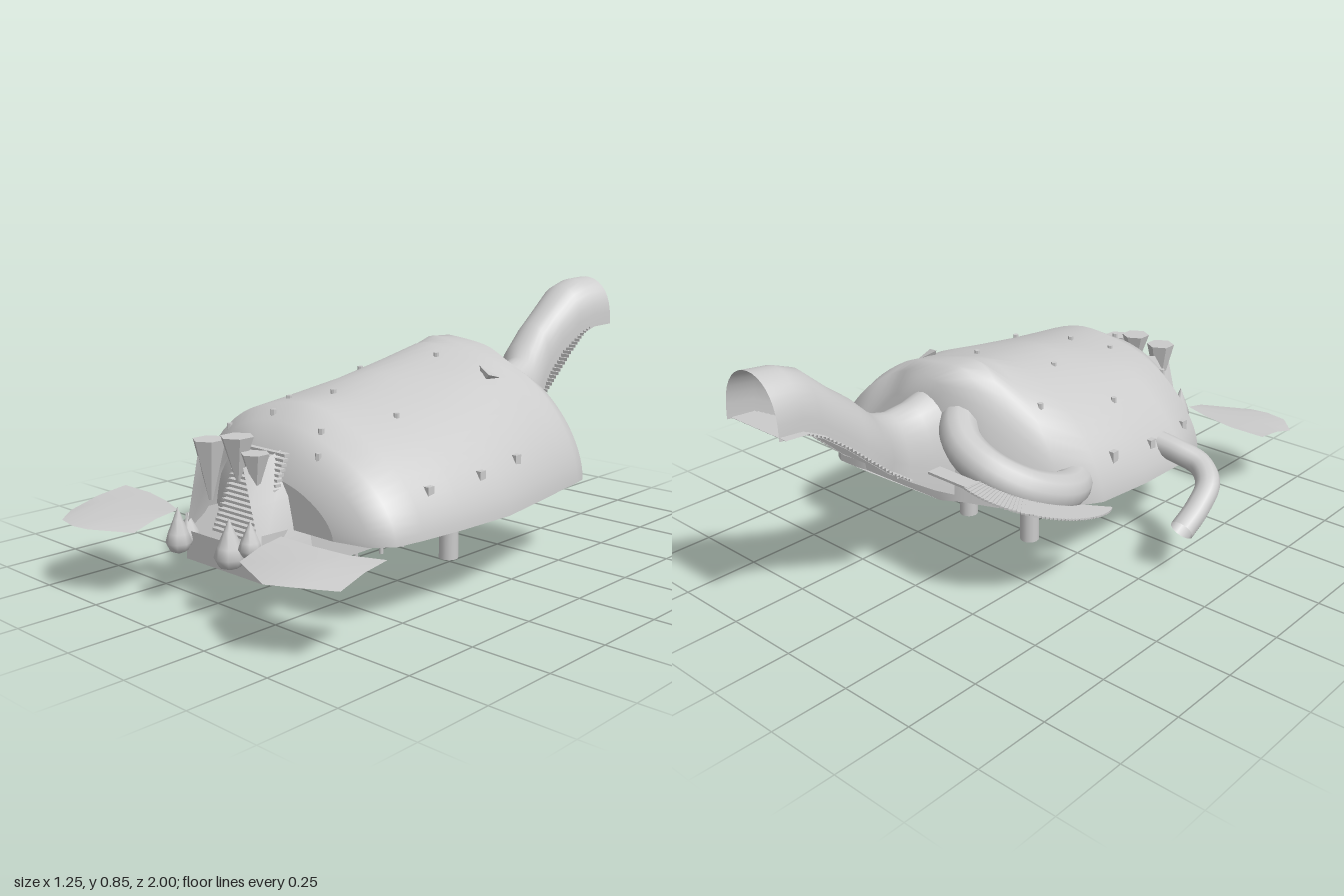
import * as THREE from 'three';

const mat = new THREE.MeshStandardMaterial({ color: 0xcccccc, side: THREE.DoubleSide });
const flat = new THREE.MeshStandardMaterial({ color: 0xcccccc, side: THREE.DoubleSide, flatShading: true });
const V = (x, y, z) => new THREE.Vector3(x, y, z);

// Skin between equally long rows of points
function loft(rows) {
  const n = rows[0].length, idx = [];
  for (let i = 0; i < rows.length - 1; i++) for (let j = 0; j < n - 1; j++) {
    const a = i * n + j, b = a + n;
    idx.push(a, b, a + 1, b, b + 1, a + 1);
  }
  const g = new THREE.BufferGeometry().setFromPoints(rows.flat());
  g.setIndex(idx);
  g.computeVertexNormals();
  return g;
}

// Linear interpolation in a table sorted by its first column
function sample(table, t) {
  let i = 0;
  while (i < table.length - 2 && table[i + 1][0] < t) i++;
  const a = table[i], b = table[i + 1], f = (t - a[0]) / (b[0] - a[0]);
  return a.map((v, k) => v + (b[k] - v) * f);
}

// Shell stations: z, left edge, right edge, ridge x, ridge height
const stations = [
  [-0.395, 0.34, 0.46, 0.4, 0.36], [-0.38, 0.0, 0.49, 0.1, 0.56], [-0.345, -0.06, 0.52, 0.04, 0.64],
  [-0.3, -0.17, 0.53, -0.02, 0.685], [-0.23, -0.21, 0.54, -0.02, 0.68], [-0.17, -0.32, 0.55, 0.02, 0.665],
  [-0.05, -0.39, 0.57, 0.05, 0.645], [0.15, -0.41, 0.6, 0.06, 0.61], [0.35, -0.41, 0.59, 0.07, 0.58],
  [0.5, -0.37, 0.575, 0.07, 0.57], [0.59, -0.26, 0.56, 0.08, 0.53], [0.645, -0.13, 0.51, 0.08, 0.47],
  [0.67, -0.06, 0.4, 0.08, 0.4],
];
const BASE = 0.255;

function surfaceY(x, z) {
  const [, l, r, p, top] = sample(stations, z);
  const u = Math.min(1, Math.abs(x < p ? (p - x) / (p - l) : (x - p) / (r - p)));
  const lump = 0.012 * Math.sin(x * 13 + z * 5) * Math.sin(z * 11 - x * 4) * (1 - u);
  return BASE + (top - BASE) * Math.pow(1 - u * u, x < p ? 0.64 : 0.57) + lump;
}

// Basin stations: z, left, right, bottom
const basin = [
  [0.0, -0.04, 0.19, 0.13], [0.03, -0.085, 0.23, 0.128], [0.2, -0.095, 0.235, 0.125], [0.4, -0.1, 0.24, 0.125],
  [0.56, -0.11, 0.24, 0.125], [0.61, -0.11, 0.24, 0.108], [0.7, -0.11, 0.24, 0.115], [0.78, -0.1, 0.235, 0.122],
];

export function createModel() {
  const model = new THREE.Group();
  const add = (name, geo, x = 0, y = 0, z = 0, m = mat) => {
    const mesh = new THREE.Mesh(geo, m);
    mesh.name = name;
    mesh.position.set(x, y, z);
    model.add(mesh);
    return mesh;
  };
  const box = (name, w, h, d, x, y, z) => add(name, new THREE.BoxGeometry(w, h, d), x, y, z, flat);

  // Lumpy cave shell with closed ends and a dent in the back beside the tail
  const dent = (x, z) => z + 0.04 * Math.exp(-(((x - 0.25) / 0.07) ** 2)) * THREE.MathUtils.smoothstep(-z, 0.2, 0.38);
  const rows = stations.map(([z, l, r]) => Array.from({ length: 33 }, (_, j) => {
    const x = (l + r) / 2 - (r - l) / 2 * Math.cos(Math.PI * j / 32);
    return V(x, surfaceY(x, z), dent(x, z));
  }));
  add('caveShell', loft(rows));
  for (const row of [rows[0], rows.at(-1)])
    add('shellEnd', loft([row, row.map(p => V(p.x, BASE, p.z))]));

  // Underside, open over the basin
  const outline = (table, top) => {
    const list = table.filter(s => s[0] <= top);
    return [...list.map(s => new THREE.Vector2(s[1], s[0])), ...list.reverse().map(s => new THREE.Vector2(s[2], s[0]))];
  };
  const under = new THREE.Shape(outline(stations, 1));
  under.holes.push(new THREE.Path(outline(basin, 0.62)));
  add('shellUnderside', new THREE.ShapeGeometry(under).rotateX(Math.PI / 2), 0, BASE, 0);

  // Basin walls hanging below the opening
  for (const side of [1, 2])
    add('basinWall', loft(basin.map(s => [V(s[side], 0.26, s[0]), V(s[side], s[3], s[0])])));
  for (const [[z, l, r, y], top] of [[basin[0], 0.26], [basin.at(-1), 0.21]])
    add('basinEnd', loft([[V(l, y, z), V(r, y, z)], [V(l, top, z), V(r, top, z)]]));

  // Arched tail tunnel, open below: z, centre x, half width, bottom y, top y
  const tail = [
    [-1, 0.07, 0.115, 0.675, 0.845], [-0.92, 0.06, 0.11, 0.67, 0.84], [-0.86, 0.05, 0.1, 0.64, 0.82],
    [-0.78, 0.04, 0.09, 0.58, 0.75], [-0.7, 0.04, 0.09, 0.51, 0.69], [-0.63, 0.05, 0.1, 0.45, 0.625],
    [-0.57, 0.08, 0.09, 0.41, 0.585], [-0.5, 0.09, 0.09, 0.36, 0.565], [-0.42, 0.085, 0.105, 0.31, 0.575],
    [-0.34, 0.08, 0.125, 0.27, 0.6], [-0.25, 0.08, 0.13, 0.27, 0.6],
  ];
  add('tailTunnel', loft(tail.map(([z, cx, w, lo, hi]) => Array.from({ length: 19 }, (_, j) => {
    const a = Math.PI * j / 18;
    return V(cx + w * Math.cos(a), lo + (hi - lo) * Math.pow(Math.sin(a), 0.75), z);
  }))));

  // Staircases through the tunnel: zigzag strips of treads and risers
  const stairs = (x0, x1, zFrom, zTo, n) => {
    const strip = [];
    for (let i = 0; i <= n; i++) {
      const z = zFrom + (zTo - zFrom) * i / n, y = sample(tail, z)[3] + 0.012;
      if (i) strip.push([V(x1, strip.at(-1)[0].y, z), V(x0, strip.at(-1)[0].y, z)]);
      strip.push([V(x1, y, z), V(x0, y, z)]);
    }
    add('tunnelStairs', loft(strip), 0, 0, 0, flat);
  };
  stairs(0.02, 0.23, -0.4, -0.56, 12);
  stairs(-0.075, 0.165, -0.56, -1, 34);
  box('tunnelPost', 0.012, 0.19, 0.025, 0.18, 0.375, -0.39);

  // Looping arm tunnel on the back and bent pipe on the flank
  const tube = (name, pts, r) =>
    add(name, new THREE.TubeGeometry(new THREE.CatmullRomCurve3(pts), 28, r, 12));
  tube('loopTunnel', [V(0.02, 0.53, -0.25), V(-0.06, 0.5, -0.35), V(-0.13, 0.47, -0.39), V(-0.23, 0.43, -0.39),
    V(-0.315, 0.38, -0.325), V(-0.345, 0.34, -0.22), V(-0.325, 0.32, -0.13), V(-0.27, 0.32, -0.05)], 0.062);
  tube('sidePipe', [V(-0.36, 0.34, 0.28), V(-0.43, 0.325, 0.29), V(-0.51, 0.3, 0.3), V(-0.57, 0.265, 0.26),
    V(-0.586, 0.21, 0.18), V(-0.586, 0.165, 0.1)], 0.04);

  // Fan of curved steps descending around the loop, with its landing
  for (let i = 0; i < 48; i++) {
    const a = THREE.MathUtils.degToRad(92 + i * 2.55);
    const step = box('loopStep', 0.12, 0.006, 0.011,
      -0.23 + 0.21 * Math.cos(a), 0.42 - i * 0.0031, -0.24 - 0.21 * Math.sin(a));
    step.rotation.y = a;
  }
  box('loopLanding', 0.16, 0.008, 0.05, -0.16, 0.42, -0.48);

  // Pegs and legs
  for (const z of [0.58, 0.485, 0.4, 0.29, 0.195, 0.1, 0.02])
    for (const x of [-0.07, 0.22])
      add('peg', new THREE.CylinderGeometry(0.007, 0.007, 0.07, 8), x, 0.125, z);
  for (const x of [-0.065, 0.22])
    add('leg', new THREE.CylinderGeometry(0.032, 0.032, 0.25, 16), x, 0.125, -0.03);

  // Flared mouth walls with a staircase inside
  for (const s of [-1, 1]) {
    const x = o => 0.065 + s * o;
    add('mouthWall', loft([
      [V(x(0.2), 0.2, 0.62), V(x(0.17), 0.36, 0.62), V(x(0.1), 0.48, 0.6)],
      [V(x(0.18), 0.2, 0.72), V(x(0.15), 0.34, 0.71), V(x(0.1), 0.45, 0.7)],
      [V(x(0.17), 0.18, 0.78), V(x(0.13), 0.33, 0.78), V(x(0.1), 0.44, 0.78)],
    ]));
  }
  for (let i = 0; i < 18; i++)
    box('mouthStep', 0.2, 0.008, 0.02, 0.105, 0.23 + i * 0.0135, 0.755 - i * 0.006);

  // Stalactites over the mouth: x, top, z, radius, length
  for (const [x, y, z, r, h] of [[-0.03, 0.485, 0.74, 0.05, 0.18], [0.07, 0.505, 0.72, 0.05, 0.13],
    [0.17, 0.475, 0.74, 0.042, 0.11]])
    add('stalactite', new THREE.CylinderGeometry(r, 0.006, h, 6), x, y - h / 2, z, flat);

  // Teardrop stalagmites below: x, bottom, z, radius, height
  const drop = [[0, 0], [0.7, 0.08], [1, 0.25], [0.8, 0.45], [0.35, 0.75], [0, 1]];
  for (const [x, y, z, r, h] of [[-0.07, 0.155, 0.83, 0.038, 0.14], [0.14, 0.15, 0.815, 0.045, 0.15],
    [0.2, 0.19, 0.79, 0.035, 0.11], [-0.1, 0.16, 0.77, 0.036, 0.1]])
    add('stalagmite', new THREE.LatheGeometry(drop.map(([a, b]) => new THREE.Vector2(a * r, b * h)), 8), x, y, z);

  // Thin ground plates either side of the mouth: high back edge, low front edge
  const plates = [
    [[[-0.5, 0.71], [-0.43, 0.71], [-0.37, 0.71], [-0.25, 0.735], [-0.15, 0.77]],
      [[-0.5, 0.91], [-0.43, 0.985], [-0.35, 1], [-0.29, 0.99], [-0.16, 0.92]]],
    [[[0.27, 0.74], [0.4, 0.74], [0.52, 0.73], [0.62, 0.69]],
      [[0.26, 0.88], [0.44, 0.955], [0.53, 0.91], [0.62, 0.86]]],
  ];
  for (const [back, front] of plates)
    add('groundPlate', loft([back.map(([x, z]) => V(x, 0.258, z)),
      back.map(([x, z], i) => V((x + front[i][0]) / 2, 0.245, (z + front[i][1]) / 2)),
      front.map(([x, z]) => V(x, 0.218, z))]));

  // Vent studs and slanted skylight on the shell
  for (const [x, z] of [[-0.2, -0.135], [0.1, -0.1], [-0.08, 0.07], [-0.255, 0.165], [0.08, 0.35], [-0.04, 0.42],
    [0.32, 0.33], [-0.18, 0.54], [0.045, 0.56], [0.255, 0.57], [0.295, 0.62]])
    add('vent', new THREE.CylinderGeometry(0.009, 0.009, 0.025, 6), x, surfaceY(x, z), z, flat);
  const light = add('skylight', new THREE.CylinderGeometry(0.045, 0.02, 0.03, 3), 0.29, surfaceY(0.29, -0.13) - 0.006, -0.13, flat);
  light.rotation.set(0, 0.6, -0.5);

  // Window ledges sunk into the flanks, with pads below the rim
  for (const z of [0.035, 0.22, 0.43]) {
    const [, l, r] = sample(stations, z);
    for (const x of [l + 0.055, r - 0.065]) {
      box('windowLedge', 0.05, 0.04, 0.025, x, surfaceY(x, z) - 0.03, z);
      box('rimPad', 0.04, 0.014, 0.035, x, BASE, z);
    }
  }
  return model;
}
